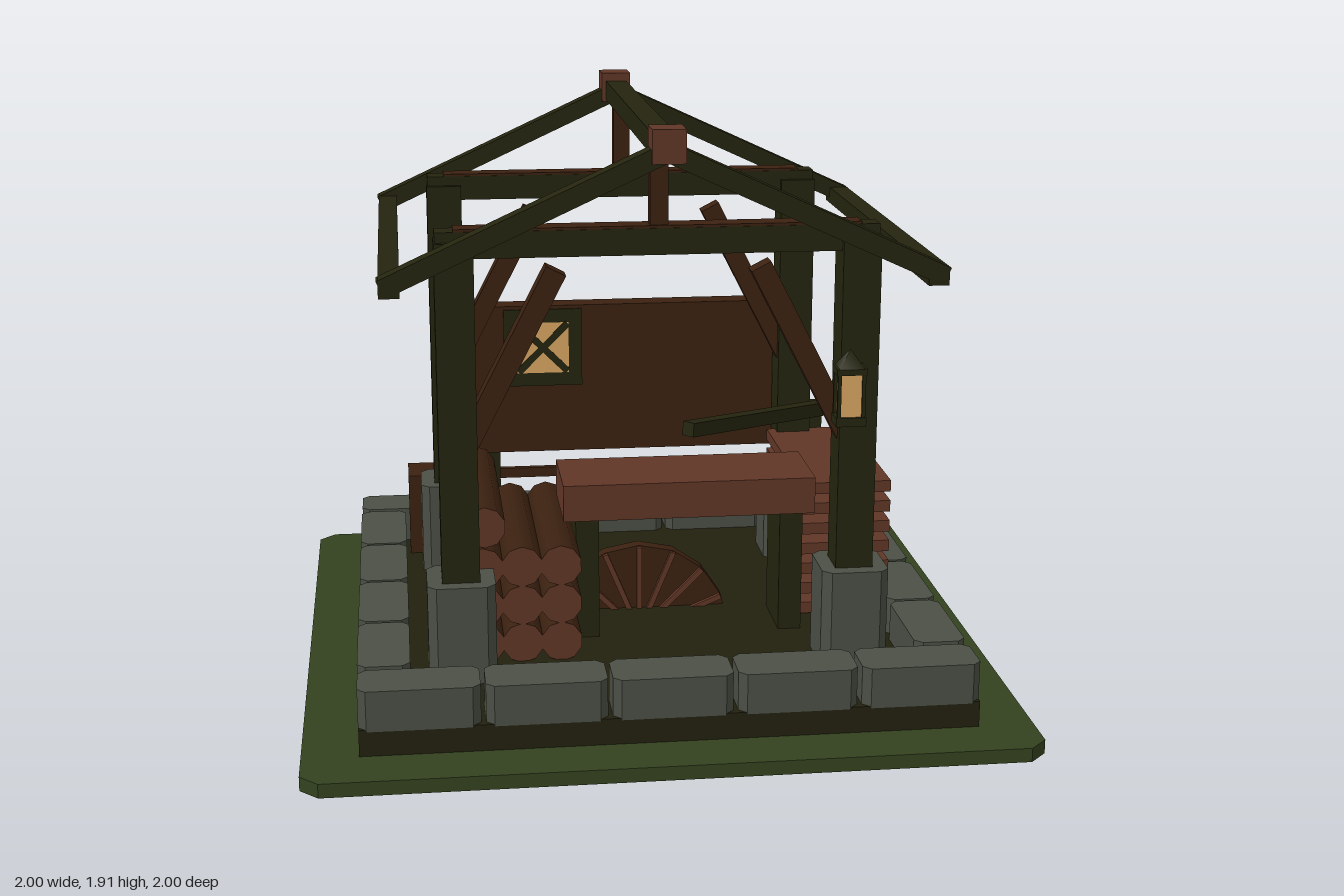
import * as THREE from 'three';

const mat = (name, color) => {
  const m = new THREE.MeshStandardMaterial({ color });
  m.name = name;
  return m;
};

export function createModel() {
  const grass = mat('grass', 0x34421f);
  const earth = mat('earth', 0x22200e);
  const stone = mat('stone', 0x4b4f45);
  const timber = mat('dark timber', 0x24240f);
  const brown = mat('brown wood', 0x3b2110);
  const red = mat('reddish wood', 0x613626);
  const glow = mat('warm glass', 0xd8a562);

  const model = new THREE.Group();
  model.name = 'workshopShelter';

  const add = (name, geo, material, x = 0, y = 0, z = 0, parent = model) => {
    const m = new THREE.Mesh(geo, material);
    m.name = name;
    m.position.set(x, y, z);
    parent.add(m);
    return m;
  };
  // Box given by its limits on each axis
  const box = (name, material, x0, x1, y0, y1, z0, z1, parent) =>
    add(name, new THREE.BoxGeometry(x1 - x0, y1 - y0, z1 - z0), material,
      (x0 + x1) / 2, (y0 + y1) / 2, (z0 + z1) / 2, parent);
  // Square bar from point a to point b
  const bar = (name, material, a, b, w, h, parent = model) => {
    const A = new THREE.Vector3(...a), B = new THREE.Vector3(...b);
    const m = add(name, new THREE.BoxGeometry(w, h, A.distanceTo(B)), material, 0, 0, 0, parent);
    m.position.copy(A).add(B).multiplyScalar(0.5);
    m.lookAt(B);
    return m;
  };
  // Upright block with cut corners, standing on y
  const block = (name, material, w, d, c, x, y0, y1, z) => {
    const a = w / 2, b = d / 2;
    const s = new THREE.Shape([
      [-a + c, -b], [a - c, -b], [a, -b + c], [a, b - c],
      [a - c, b], [-a + c, b], [-a, b - c], [-a, -b + c],
    ].map(p => new THREE.Vector2(...p)));
    const g = new THREE.ExtrudeGeometry(s, { depth: y1 - y0, bevelEnabled: false });
    g.rotateX(-Math.PI / 2);
    return add(name, g, material, x, y0, z);
  };

  // Ground and floor
  block('ground', grass, 2, 2, 0.05, 0, 0.255, 0.295, 0);
  box('floor', earth, -0.845, 0.845, 0.295, 0.37, -0.845, 0.845);

  // Ring of edging stones
  for (const s of [-1, 1]) {
    for (let i = -2; i <= 2; i++)
      block('edgeStone', stone, 0.328, 0.15, 0.022, i * 0.341, 0.365, 0.48, s * 0.772);
    for (let i = -1.5; i <= 1.5; i++)
      block('edgeStone', stone, 0.145, 0.328, 0.022, s * 0.775, 0.365, 0.48, i * 0.341);
  }

  // Posts on stone piers
  for (const sx of [-1, 1]) for (const sz of [-1, 1]) {
    const x = sx * 0.555, z = sz * 0.468;
    block('pier', stone, 0.19, 0.195, 0.025, x, 0.36, 0.655, z);
    box('post', timber, x - 0.053, x + 0.053, 0.6, 1.61, z - 0.055, z + 0.055);
    bar('brace', brown, [sx * 0.53, 1.04, z], [sx * 0.28, 1.525, z], 0.06, 0.06);
  }

  // Roof frame
  for (const s of [-1, 1]) {
    const z = s * 0.468;
    box('tieBeam', timber, -0.605, 0.605, 1.565, 1.638, z - 0.036, z + 0.036);
    box('tieBeamTop', brown, -0.555, 0.555, 1.638, 1.645, z - 0.034, z + 0.034);
    box('kingPost', brown, -0.025, 0.025, 1.64, 1.86, z - 0.024, z + 0.024);
    for (const t of [-1, 1])
      bar('rafter', timber, [0, 1.868, s * 0.65], [t * 0.75, 1.523, s * 0.65], 0.06, 0.052);
    box('eaveBeam', timber, s * 0.728 - 0.028, s * 0.728 + 0.028, 1.5, 1.55, -0.68, 0.68);
    box('ridgeCap', red, -0.045, 0.045, 1.84, 1.93, s * 0.652 - 0.048, s * 0.652 + 0.048);
  }
  box('ridgeBeam', timber, -0.032, 0.032, 1.846, 1.905, -0.65, 0.65);

  // Back board with window
  box('backBoard', brown, -0.553, 0.553, 0.715, 1.2, -0.61, -0.532);
  const win = new THREE.Group();
  win.name = 'window';
  win.position.set(-0.247, 1.063, -0.532);
  model.add(win);
  for (const s of [-1, 1]) {
    box('windowFrame', timber, s * 0.104 - 0.022, s * 0.104 + 0.022, -0.126, 0.126, 0, 0.006, win);
    box('windowFrame', timber, -0.083, 0.083, s * 0.104 - 0.022, s * 0.104 + 0.022, 0, 0.006, win);
    const cross = box('windowCross', timber, -0.112, 0.112, -0.011, 0.011, 0.004, 0.009, win);
    cross.rotation.z = s * Math.PI / 4;
  }
  box('windowGlass', glow, -0.083, 0.083, -0.083, 0.083, 0, 0.007, win);

  // Low fence behind the board
  for (const x of [-0.41, 0.662])
    box('fencePost', timber, x - 0.022, x + 0.022, 0.37, 0.835, -0.632, -0.588);
  for (const y of [0.62, 0.755])
    box('fenceRail', brown, -0.41, 0.662, y - 0.016, y + 0.016, -0.628, -0.606);

  // Crate in the back corner
  box('crate', brown, -0.69, -0.51, 0.37, 0.635, -0.708, -0.56);

  // Workbench
  box('benchTop', red, -0.25, 0.488, 0.742, 0.85, 0.015, 0.285);
  for (const x of [-0.178, 0.425])
    box('benchLeg', timber, x - 0.034, x + 0.034, 0.37, 0.742, 0.05, 0.25);

  // Wheel sunk through the floor
  const wheel = new THREE.Group();
  wheel.name = 'wheel';
  wheel.position.y = 0.295;
  model.add(wheel);
  const disc = new THREE.CylinderGeometry(0.275, 0.275, 0.045, 16);
  disc.rotateX(Math.PI / 2);
  add('wheelDisc', disc, brown, 0, 0, 0, wheel);
  for (let i = 0; i < 16; i++) {
    const spoke = new THREE.Group();
    spoke.name = 'spoke';
    spoke.rotation.z = i * Math.PI / 8;
    wheel.add(spoke);
    box('spokeBar', red, 0.03, 0.272, -0.008, 0.008, 0.02, 0.036, spoke);
  }

  // Log pile: bark sides and cut ends
  const logGeo = new THREE.CylinderGeometry(0.06, 0.06, 0.61, 10);
  logGeo.rotateX(Math.PI / 2);
  const log = (x, y) => add('log', logGeo, [brown, red, red], x, y, 0.107);
  for (let row = 0; row < 3; row++)
    for (let col = 0; col < 3; col++)
      log(-0.49 + col * 0.111, 0.425 + row * 0.115);
  log(-0.483, 0.776);

  // Stacked planks
  for (let i = 0; i < 7; i++)
    box('plank', red, 0.475, 0.748, 0.375 + i * 0.063, 0.41 + i * 0.063, -0.453, 0.143);

  // Loose pole resting across the bench and planks
  bar('pole', timber, [0.13, 0.972, 0.155], [0.622, 0.902, -0.285], 0.042, 0.042);

  // Lantern on the front left post
  const lantern = new THREE.Group();
  lantern.name = 'lantern';
  lantern.position.set(0.52, 0, 0.557);
  model.add(lantern);
  box('lanternBase', timber, -0.042, 0.042, 1.09, 1.115, -0.034, 0.034, lantern);
  box('lanternGlass', glow, -0.03, 0.03, 1.115, 1.235, -0.026, 0.026, lantern);
  box('lanternLid', timber, -0.042, 0.042, 1.235, 1.253, -0.034, 0.034, lantern);
  for (const sx of [-1, 1]) for (const sz of [-1, 1])
    box('lanternBar', timber, sx * 0.034 - 0.005, sx * 0.034 + 0.005, 1.115, 1.235,
      sz * 0.027 - 0.005, sz * 0.027 + 0.005, lantern);
  const roof = add('lanternRoof', new THREE.ConeGeometry(0.05, 0.05, 4), timber, 0, 1.277, 0, lantern);
  roof.rotation.y = Math.PI / 4;

  return model;
}
